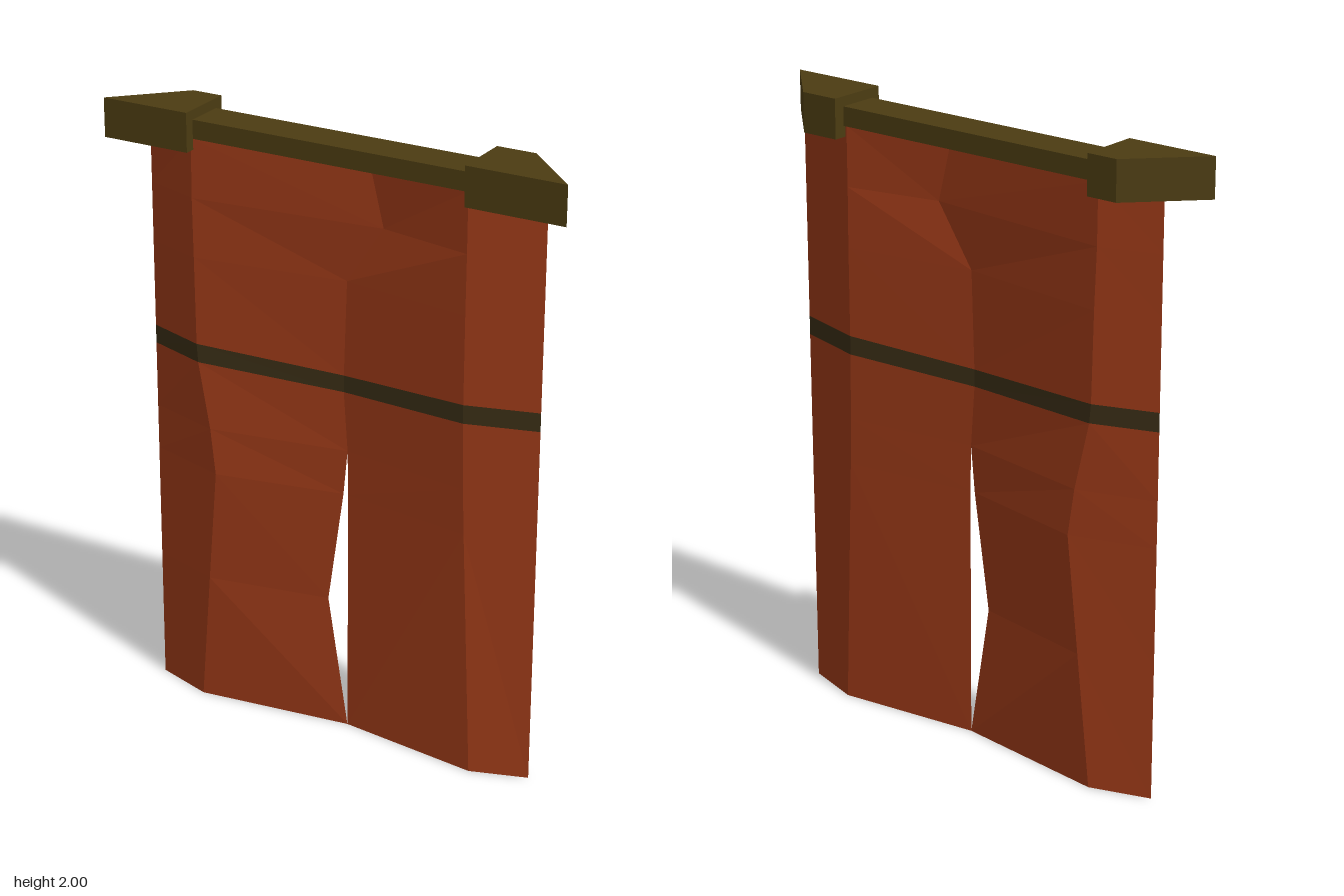
import * as THREE from 'three';

const mat = (color) => new THREE.MeshStandardMaterial({ color, flatShading: true });
const MID = -0.095; // depth of the curtain's centre plane

// Loft of a four-sided lens: outer edge, front crease, inner edge, back crease.
// Each row is [y, crease position, half thickness, inner position, inner drop].
function panelGeometry(side, rows) {
  const rings = rows.map(([y, crease, w, inner, drop = 0]) => [
    [side * 0.675, y, MID],
    [crease, y, MID + w],
    [inner, y - drop, MID],
    [crease, y, MID - w],
  ]);
  const pos = [];
  const tri = (a, b, c) => pos.push(...a, ...(side > 0 ? [...b, ...c] : [...c, ...b]));
  for (let r = 0; r < rings.length - 1; r++) {
    const lo = rings[r], up = rings[r + 1];
    for (let i = 0; i < 4; i++) {
      const j = (i + 1) % 4;
      if (i % 2) { // diagonals fall from the crease towards the edges
        tri(lo[i], up[i], lo[j]);
        tri(up[i], up[j], lo[j]);
      } else {
        tri(lo[i], up[i], up[j]);
        tri(lo[i], up[j], lo[j]);
      }
    }
  }
  const b = rings[0], t = rings[rings.length - 1];
  tri(b[0], b[1], b[2]);
  tri(b[0], b[2], b[3]);
  tri(t[0], t[2], t[1]);
  tri(t[0], t[3], t[2]);
  const geo = new THREE.BufferGeometry();
  geo.setAttribute('position', new THREE.Float32BufferAttribute(pos, 3));
  geo.computeVertexNormals();
  return geo;
}

export function createModel() {
  const model = new THREE.Group();
  model.name = 'curtain';
  const hanging = new THREE.Group();
  hanging.name = 'diagonalCurtain';
  hanging.rotation.y = -Math.PI / 4;
  model.add(hanging);

  const cloth = mat(0x9c3a18), wood = mat(0x4c3c12), trim = mat(0x3a2e16);
  const add = (name, geo, material) => {
    const mesh = new THREE.Mesh(geo, material);
    mesh.name = name;
    hanging.add(mesh);
    return mesh;
  };

  // Cloth panels, each split by a dark band
  const panels = [
    { name: 'right', side: -1, rows: [
      [0, -0.485, 0.062, 0.025], [0.44, -0.445, 0.072, -0.046], [0.82, -0.41, 0.08, 0.008],
      [0.97, -0.43, 0.076, 0.022], [1.185, -0.475, 0.068, 0.008, 0.02], [1.245, -0.48, 0.067, 0.008, 0.025],
      [1.53, -0.485, 0.065, 0.018], [1.72, -0.49, 0.062, 0.142], [1.91, -0.49, 0.06, 0.095]] },
    { name: 'left', side: 1, rows: [
      [0, 0.495, 0.058, 0.025], [0.82, 0.46, 0.06, 0.025], [0.97, 0.455, 0.061, 0.022],
      [1.185, 0.45, 0.062, 0.008, 0.02], [1.245, 0.45, 0.062, 0.008, 0.025],
      [1.53, 0.45, 0.062, 0.018], [1.72, 0.45, 0.06, 0.142], [1.91, 0.45, 0.06, 0.095]] },
  ];
  for (const { name, side, rows } of panels) {
    const k = rows.findIndex((row) => row[0] === 1.185);
    add(name + 'LowerPanel', panelGeometry(side, rows.slice(0, k + 1)), cloth);
    add(name + 'Band', panelGeometry(side, rows.slice(k, k + 2)), trim);
    add(name + 'UpperPanel', panelGeometry(side, rows.slice(k + 1)), cloth);
  }

  // Rod
  add('rod', new THREE.BoxGeometry(0.935, 0.06, 0.13), wood).position.set(-0.013, 1.94, -0.097);

  // Pointed rod ends
  for (const [name, side, start] of [['rightFinial', -1, 0.482], ['leftFinial', 1, 0.456]]) {
    const pts = [[start, 0], [0.778, 0], [0.583, 0.197], [start, 0.197]];
    const shape = new THREE.Shape(pts.map(([x, y]) => new THREE.Vector2(side * x, y)));
    const geo = new THREE.ExtrudeGeometry(shape, { depth: 0.125, bevelEnabled: false });
    geo.rotateX(-Math.PI / 2);
    add(name, geo, wood).position.y = 1.875;
  }
  return model;
}
